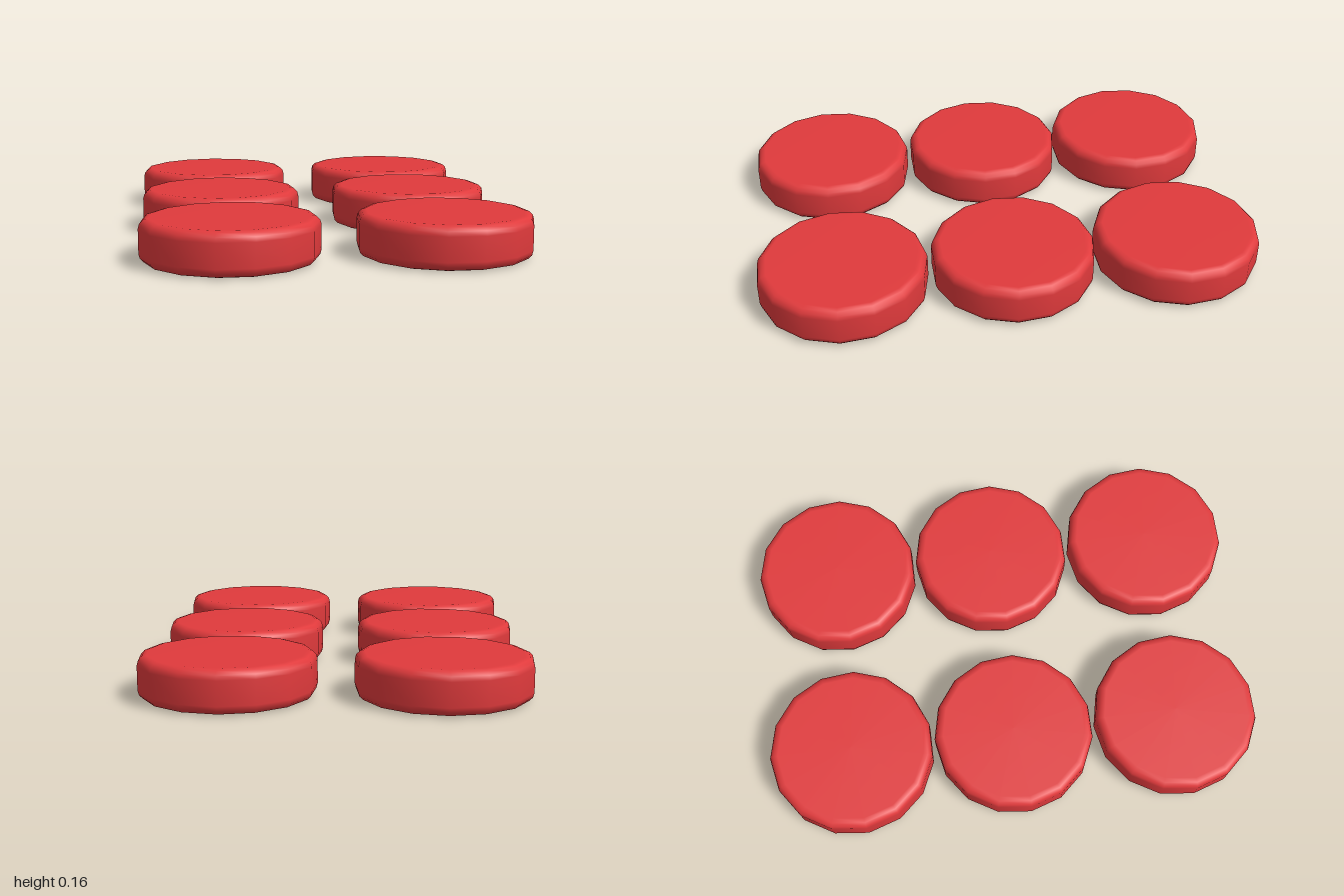
import * as THREE from 'three';

const HEIGHT = 0.163;
const BEVEL = 0.036;
const SIDES = 15;

// Rounded-edge disc profile, from the bottom centre to the top centre
function discGeometry(radius) {
  const points = [new THREE.Vector2(0, 0)];
  const steps = 3;
  for (const [y, start] of [[BEVEL, -Math.PI / 2], [HEIGHT - BEVEL, 0]]) {
    for (let i = 0; i <= steps; i++) {
      const a = start + (i / steps) * (Math.PI / 2);
      points.push(new THREE.Vector2(radius - BEVEL + BEVEL * Math.cos(a), y + BEVEL * Math.sin(a)));
    }
  }
  points.push(new THREE.Vector2(0, HEIGHT));
  // Start at the back so one corner points to -z
  return new THREE.LatheGeometry(points, SIDES, Math.PI, Math.PI * 2);
}

export function createModel() {
  const group = new THREE.Group();
  group.name = 'discs';
  const red = new THREE.MeshStandardMaterial({ color: 0xe03a3c });
  red.name = 'red';

  const outer = discGeometry(0.333);
  const middle = discGeometry(0.326);
  const rows = [
    { name: 'back', z: -0.667, geometry: outer },
    { name: 'middle', z: 0, geometry: middle },
    { name: 'front', z: 0.673, geometry: outer },
  ];

  // Two columns of three discs
  for (const { name, z, geometry } of rows) {
    for (const side of [-1, 1]) {
      const disc = new THREE.Mesh(geometry, red);
      disc.name = name + (side > 0 ? 'LeftDisc' : 'RightDisc');
      disc.position.set(side * 0.4, 0, z);
      group.add(disc);
    }
  }
  return group;
}
